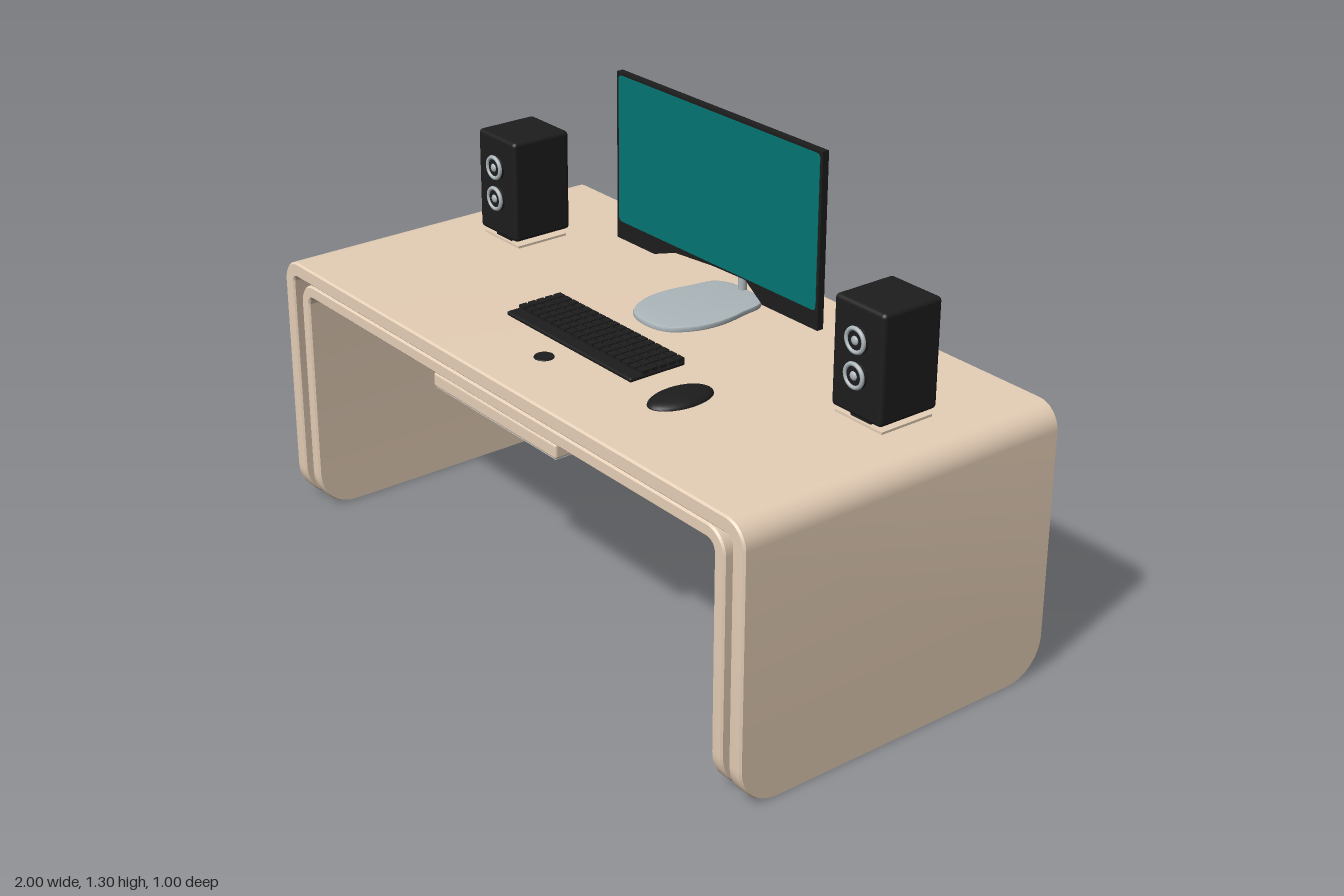
import * as THREE from 'three';
import { toCreasedNormals } from 'three/addons/utils/BufferGeometryUtils.js';
import { RoundedBoxGeometry } from 'three/addons/geometries/RoundedBoxGeometry.js';

const material = (name, color) => {
  const m = new THREE.MeshStandardMaterial({ color });
  m.name = name;
  return m;
};

// Bent sheet: left leg, rounded corner, top, rounded corner, right leg.
function archGeometry(halfX, top, thick, halfZ, bend, bottomR) {
  const path = [], X = halfX - thick / 2, Y = top - thick / 2;
  for (let i = 0; i <= 8; i++) {
    const a = (i / 8) * Math.PI / 2;
    path.push([-X, 0.005 + bottomR * (1 - Math.cos(a)), -1, 0, halfZ - bottomR + bottomR * Math.sin(a)]);
  }
  for (let i = 0; i <= 8; i++) {
    const a = (i / 8) * Math.PI / 2;
    const nx = -Math.cos(a), ny = Math.sin(a);
    path.push([-X + bend + bend * nx, Y - bend + bend * ny, nx, ny, halfZ]);
  }
  for (let i = path.length - 1; i >= 0; i--) {
    const [x, y, nx, ny, w] = path[i];
    path.push([-x, y, -nx, ny, w]);
  }
  const pos = [], idx = [], h = thick / 2, b = 0.005, n = 8;
  for (const [x, y, nx, ny, w] of path) {
    const loop = [[h, -w + b], [h, w - b], [h - b, w], [b - h, w],
      [-h, w - b], [-h, b - w], [b - h, -w], [h - b, -w]];
    for (const [o, z] of loop) pos.push(x + nx * o, y + ny * o, z);
  }
  for (let i = 0; i < path.length - 1; i++) {
    for (let j = 0; j < n; j++) {
      const a = i * n + j, c = i * n + (j + 1) % n;
      idx.push(a, c, a + n, c, c + n, a + n);
    }
  }
  const end = (path.length - 1) * n;
  for (let j = 1; j < n - 1; j++) {
    idx.push(0, j + 1, j, end, end + j, end + j + 1);
  }
  const g = new THREE.BufferGeometry();
  g.setAttribute('position', new THREE.Float32BufferAttribute(pos, 3));
  g.setIndex(idx);
  return toCreasedNormals(g, 0.5);
}

export function createModel() {
  const root = new THREE.Group();
  root.name = 'computerDesk';
  const wood = material('paleWood', 0xe6cfb7);
  const grey = material('undersideGrey', 0xe2e2e2);
  const black = material('black', 0x1d1d1d);
  const teal = material('screenTeal', 0x037672);
  const silver = material('silver', 0xadb7bb);

  const add = (name, geometry, mat, x = 0, y = 0, z = 0, parent = root) => {
    const mesh = new THREE.Mesh(geometry, mat);
    mesh.name = name;
    mesh.position.set(x, y, z);
    parent.add(mesh);
    return mesh;
  };
  const box = (w, h, d) => new THREE.BoxGeometry(w, h, d);

  // Desk: two nested bent sheets
  add('outerDeskShell', archGeometry(1, 0.762, 0.044, 0.502, 0.045, 0.11), wood);
  add('innerDeskShell', archGeometry(0.925, 0.713, 0.038, 0.497, 0.045, 0.11), wood);
  add('undersidePanel', box(1.7, 0.004, 0.975), grey, 0, 0.674, 0);

  // Drawer under the top, with its rear rail plate
  add('drawer', new RoundedBoxGeometry(0.54, 0.042, 0.4, 2, 0.008), wood, 0, 0.65, 0.29);
  add('drawerBottom', box(0.53, 0.003, 0.39), grey, 0, 0.6285, 0.29);
  add('drawerRail', box(0.54, 0.024, 0.52), wood, 0, 0.66, -0.16);
  add('drawerRailBottom', box(0.53, 0.003, 0.51), grey, 0, 0.6475, -0.16);

  // Monitor: panel with a notched lower edge, teal on both sides
  const monitor = new THREE.Group();
  monitor.name = 'monitor';
  monitor.position.set(-0.015, 0, -0.249);
  monitor.rotation.y = 0.01;
  root.add(monitor);
  const panel = new THREE.Shape([
    [-0.413, 0.82], [-0.25, 0.82], [-0.16, 0.852], [0.0, 0.865], [0.13, 0.868],
    [0.2, 0.82], [0.413, 0.82], [0.413, 1.302], [-0.413, 1.302],
  ].map(([x, y]) => new THREE.Vector2(x, y)));
  add('monitorCase', new THREE.ExtrudeGeometry(panel, { depth: 0.02, bevelEnabled: false }),
    black, 0, 0, -0.01, monitor);
  const screenShape = new THREE.Shape();
  const sx = 0.404, y0 = 0.872, y1 = 1.294, r = 0.012;
  screenShape.moveTo(-sx + r, y0).lineTo(sx - r, y0).absarc(sx - r, y0 + r, r, -Math.PI / 2, 0);
  screenShape.absarc(sx - r, y1 - r, r, 0, Math.PI / 2);
  screenShape.absarc(-sx + r, y1 - r, r, Math.PI / 2, Math.PI);
  screenShape.absarc(-sx + r, y0 + r, r, Math.PI, Math.PI * 1.5);
  for (const s of [1, -1]) {
    const plate = new THREE.ExtrudeGeometry(screenShape, { depth: 0.002, bevelEnabled: false });
    add(s > 0 ? 'screen' : 'backPanel', plate, teal, 0, 0, s > 0 ? 0.0095 : -0.0115, monitor);
  }

  // Monitor stand: pebble-shaped foot and bent post
  const half = [[0.07, 0.012], [0.115, 0.08], [0.126, 0.16], [0.112, 0.25], [0.1, 0.31], [0.06, 0.338]];
  const outline = [[0, -0.005], ...half, [0, 0.341], ...half.slice().reverse().map(([x, y]) => [-x, y])];
  const curve = new THREE.CatmullRomCurve3(outline.map(([x, y]) => new THREE.Vector3(x, y, 0)), true);
  const footShape = new THREE.Shape(curve.getPoints(48).slice(0, -1).map((p) => new THREE.Vector2(p.x, p.y)));
  const foot = new THREE.ExtrudeGeometry(footShape, {
    depth: 0.006, bevelThickness: 0.005, bevelSize: 0.006, bevelOffset: -0.006, bevelSegments: 2,
  });
  foot.rotateX(-Math.PI / 2);
  add('standFoot', toCreasedNormals(foot, 0.6), silver, 0, 0.768, 0);
  const v = (y, z) => new THREE.Vector3(-0.004, y, z);
  const post = new THREE.CurvePath();
  post.add(new THREE.LineCurve3(v(0.775, -0.333), v(0.99, -0.336)));
  post.add(new THREE.QuadraticBezierCurve3(v(0.99, -0.336), v(1.018, -0.336), v(1.018, -0.31)));
  post.add(new THREE.LineCurve3(v(1.018, -0.31), v(1.022, -0.255)));
  add('standPost', new THREE.TubeGeometry(post, 40, 0.0125, 10, false), silver);

  // Speakers
  for (const x of [-0.725, 0.768]) {
    const speaker = new THREE.Group();
    speaker.name = x < 0 ? 'rightSpeaker' : 'leftSpeaker';
    speaker.position.set(x, 0, -0.13);
    root.add(speaker);
    add('speakerBase', box(0.165, 0.007, 0.165), wood, 0, 0.765, 0, speaker);
    add('speakerNeck', box(0.07, 0.024, 0.15), black, 0, 0.778, 0, speaker);
    add('speakerCabinet', new RoundedBoxGeometry(0.176, 0.294, 0.188, 3, 0.012),
      black, 0, 0.929, 0, speaker);
    for (const y of [0.985, 0.893]) {
      const housing = new THREE.CylinderGeometry(0.034, 0.036, 0.012, 28).rotateX(Math.PI / 2);
      add('driverHousing', housing, black, 0, y, 0.098, speaker);
      add('driverRing', new THREE.TorusGeometry(0.03, 0.006, 8, 28), silver, 0, y, 0.103, speaker);
      const dome = new THREE.SphereGeometry(0.012, 16, 8).scale(1, 1, 0.5);
      add('driverDome', dome, silver, 0, y, 0.104, speaker);
    }
  }

  // Keyboard: plate with a bare front strip and rows of keys behind it
  const keyboard = new THREE.Group();
  keyboard.name = 'keyboard';
  keyboard.position.set(-0.005, 0.766, 0.165);
  root.add(keyboard);
  add('keyboardPlate', new RoundedBoxGeometry(0.535, 0.012, 0.175, 2, 0.005), black, 0, 0.006, 0, keyboard);
  for (let row = 0; row < 5; row++) {
    for (let c = 0; c < 18; c++) {
      add('key', box(0.024, 0.012, 0.022), black, (c - 8.5) * 0.0298, 0.015, -0.075 + row * 0.028, keyboard);
    }
  }

  // Mouse and small round dial
  const mouse = new THREE.SphereGeometry(1, 28, 10, 0, Math.PI * 2, 0, Math.PI / 2).scale(0.056, 0.022, 0.096);
  add('mouse', mouse, black, 0.402, 0.763, 0.205);
  add('dial', new THREE.CylinderGeometry(0.026, 0.027, 0.003, 24), black, -0.004, 0.7635, 0.324);

  return root;
}
